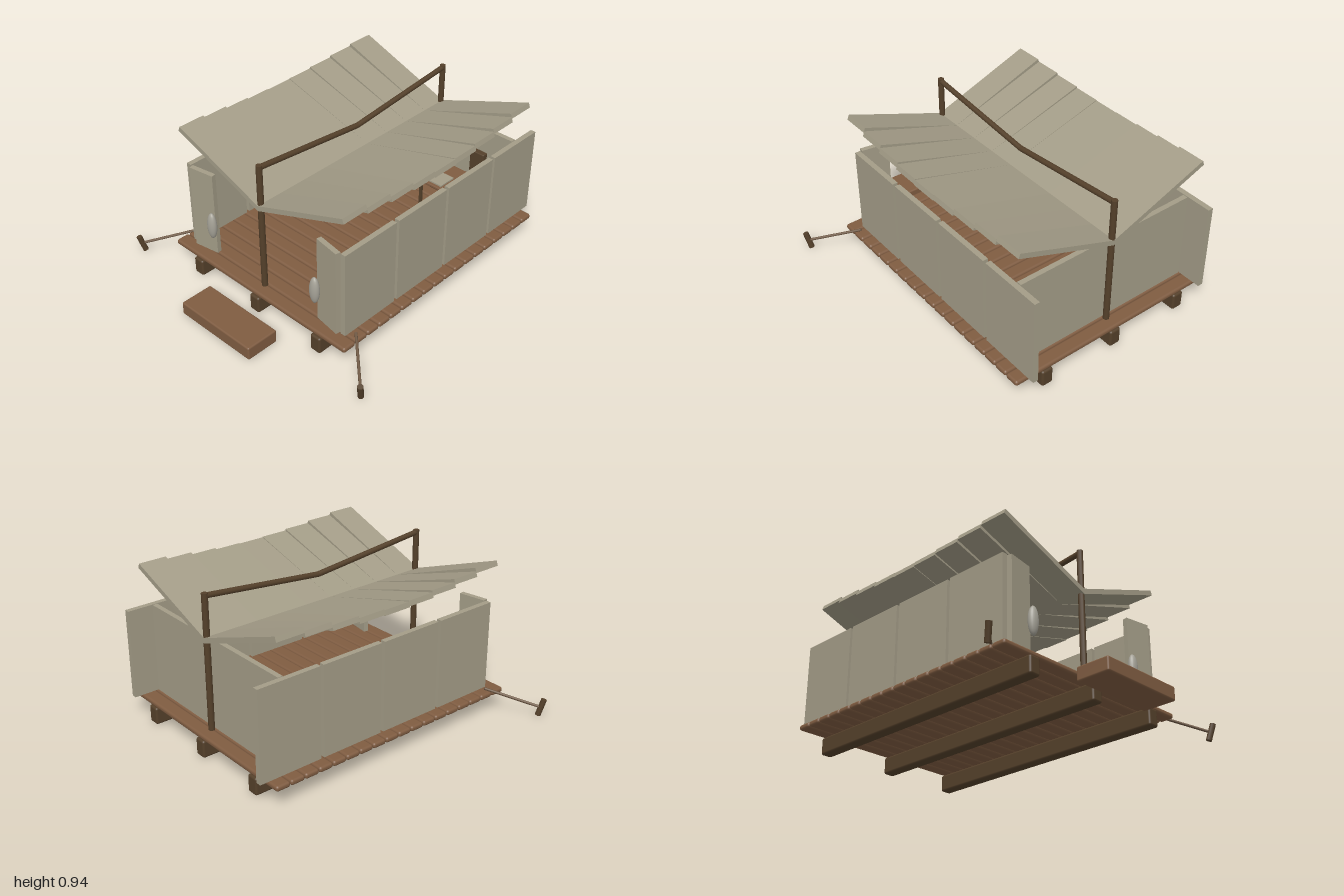
import * as THREE from 'three';
import { RoundedBoxGeometry } from 'three/addons/geometries/RoundedBoxGeometry.js';

const mat = (name, color) => {
  const m = new THREE.MeshStandardMaterial({ color });
  m.name = name;
  return m;
};

export function createModel() {
  const model = new THREE.Group();
  model.name = 'campHut';
  const canvas = mat('canvas', 0xa39c87);
  const plankWood = mat('plankWood', 0x7f5c41);
  const darkWood = mat('darkWood', 0x54402a);
  const metal = mat('paleMetal', 0xa5a297);
  const cord = mat('cord', 0x6e5843);

  const add = (name, geometry, material, x = 0, y = 0, z = 0, parent = model) => {
    const m = new THREE.Mesh(geometry, material);
    m.name = name;
    m.position.set(x, y, z);
    parent.add(m);
    return m;
  };
  // Box given by its limits on each axis
  const block = (name, material, [x0, x1], [y0, y1], [z0, z1], r = 0) => {
    const s = [x1 - x0, y1 - y0, z1 - z0];
    const g = r ? new RoundedBoxGeometry(...s, 2, r) : new THREE.BoxGeometry(...s);
    return add(name, g, material, (x0 + x1) / 2, (y0 + y1) / 2, (z0 + z1) / 2);
  };
  // Round rod between two points
  const rod = (name, material, a, b, r) => {
    const p = new THREE.Vector3(...a), q = new THREE.Vector3(...b);
    const d = q.clone().sub(p);
    const m = add(name, new THREE.CylinderGeometry(r, r, d.length(), 10), material);
    m.position.copy(p).add(q).multiplyScalar(0.5);
    m.quaternion.setFromUnitVectors(new THREE.Vector3(0, 1, 0), d.normalize());
    return m;
  };

  // Platform: three long beams carrying cross planks
  for (const x of [-0.475, 0, 0.475])
    block('floorBeam', darkWood, [x - 0.036, x + 0.036], [0, 0.105], [-0.955, 0.71], 0.013);
  const pitch = 1.65 / 18;
  for (let i = 0; i < 18; i++) {
    const z = -0.95 + pitch * i;
    block('floorPlank', plankWood, [-0.68, 0.68], [0.104, 0.137], [z + 0.002, z + pitch - 0.002], 0.014);
  }
  block('frontStep', plankWood, [-0.272, 0.272], [0, 0.082], [0.795, 1], 0.01);

  // Walls: four panels on each side, a back wall and two angled front panels
  for (const s of [-1, 1]) {
    for (let i = 0; i < 4; i++) {
      const z = 0.62 - i * 0.41;
      const m = block('sideWallPanel', canvas, [0.58, 0.612], [0.137, 0.67], [z - 0.39, z]);
      m.position.x *= s;
    }
    const front = add('frontPanel', new THREE.BoxGeometry(0.163, 0.533, 0.03), canvas, s * 0.488, 0.4035, 0.613);
    front.rotation.y = -s * 0.16;
    const shield = add('shield', new THREE.SphereGeometry(1, 20, 14), metal, s * 0.408, 0.345, 0.638);
    shield.scale.set(0.032, 0.085, 0.026);
  }
  block('backWall', canvas, [-0.575, 0.575], [0.137, 0.67], [-0.848, -0.818]);

  // Butterfly roof: overlapping strips, steeper towards both ends
  const strip = 1.535 / 9;
  const slopes = [15.7, 16.1, 17.1, 18.6, 20.4];
  for (const s of [-1, 1]) {
    for (let i = 0; i < 9; i++) {
      const hinge = new THREE.Group();
      hinge.name = 'roofStrip';
      hinge.position.set(0, 0.655, -0.89 + strip * (i + 0.5));
      hinge.rotation.z = s * THREE.MathUtils.degToRad(slopes[Math.abs(i - 4)]);
      add('roofBoard', new THREE.BoxGeometry(0.667, 0.03, strip), canvas, s * 0.3335, 0.015, 0, hinge);
      model.add(hinge);
    }
  }

  // Poles and the sagging ridge bar
  for (const z of [-0.872, 0.622]) {
    rod('pole', darkWood, [0, 0.137, z], [0, 0.935, z], 0.018);
    rod('ridgeBar', darkWood, [0, 0.92, z], [0, 0.845, -0.125], 0.016);
  }

  // Guy ropes with pegs at the front corners
  for (const s of [-1, 1]) {
    rod('guyRope', cord, [s * 0.648, 0.155, 0.575], [s * 0.89, 0.055, 0.798], 0.008);
    rod('peg', darkWood, [s * 0.88, 0.006, 0.785], [s * 0.897, 0.104, 0.81], 0.017);
  }

  // Bed on the right with a rolled fur
  block('bedTop', canvas, [-0.56, -0.265], [0.238, 0.26], [-0.68, -0.05]);
  for (const x of [-0.545, -0.275])
    for (const z of [-0.66, -0.07])
      block('bedLeg', darkWood, [x - 0.009, x + 0.009], [0.137, 0.24], [z - 0.009, z + 0.009]);
  const fur = add('fur', new THREE.SphereGeometry(1, 16, 10), darkWood, -0.38, 0.3, -0.19);
  fur.scale.set(0.075, 0.036, 0.08);
  fur.rotation.z = -0.15;

  // Table on the left with its small goods
  block('tableTop', plankWood, [0.1, 0.56], [0.317, 0.337], [-0.8, -0.54], 0.006);
  for (const x of [0.13, 0.53])
    for (const z of [-0.78, -0.56])
      block('tableLeg', darkWood, [x - 0.008, x + 0.008], [0.137, 0.318], [z - 0.008, z + 0.008]);
  block('mat', canvas, [0.13, 0.28], [0.337, 0.346], [-0.68, -0.56]);
  block('smallBox', darkWood, [0.088, 0.147], [0.337, 0.4], [-0.73, -0.67], 0.005);
  block('standFoot', canvas, [0.335, 0.385], [0.337, 0.38], [-0.79, -0.74]);
  block('standBoard', darkWood, [0.322, 0.42], [0.372, 0.525], [-0.81, -0.77], 0.006);

  return model;
}
